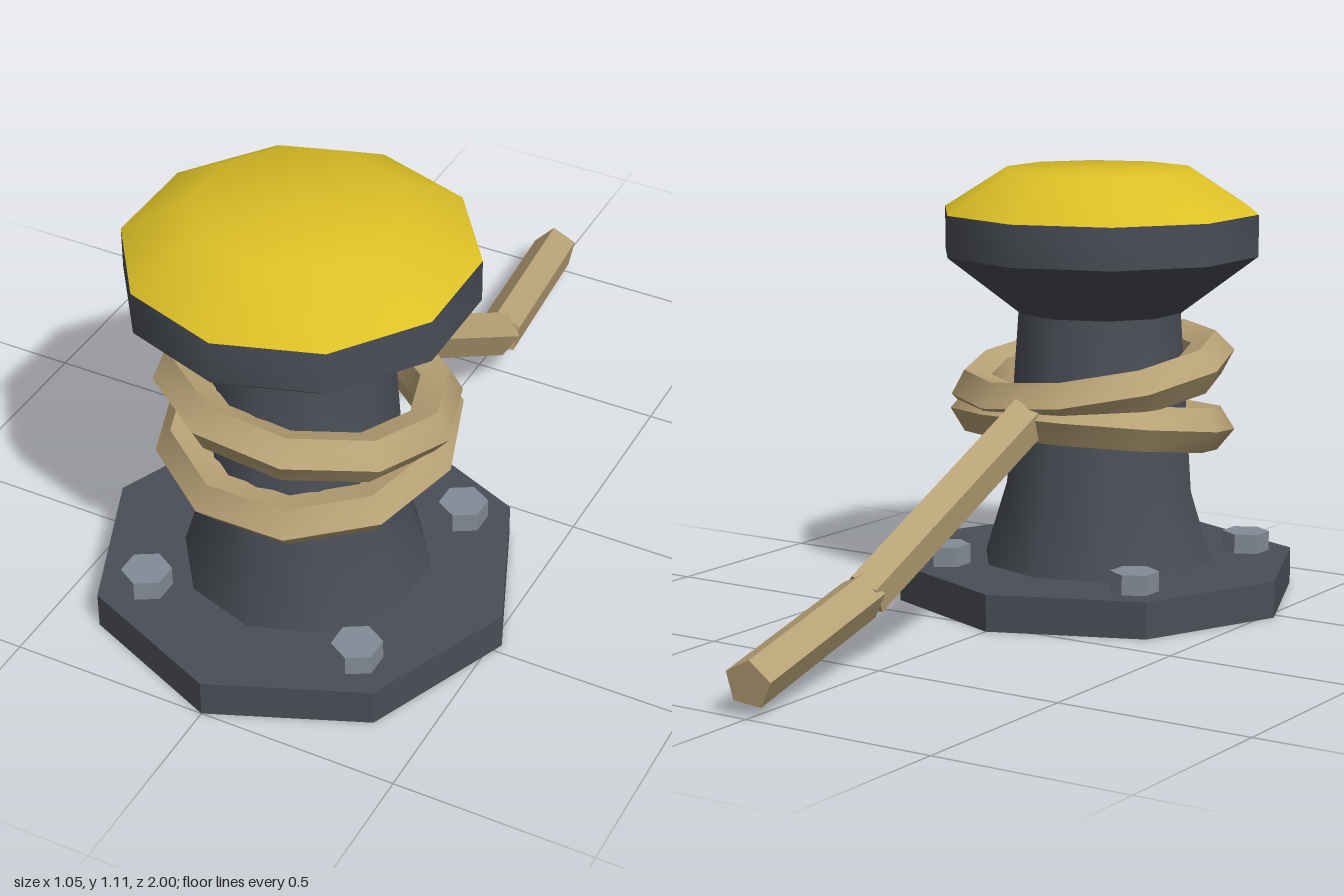
import * as THREE from 'three';
import { toCreasedNormals } from 'three/addons/utils/BufferGeometryUtils.js';

const mat = (name, color) => {
  const m = new THREE.MeshStandardMaterial({ color });
  m.name = name;
  return m;
};

export function createModel() {
  const iron = mat('darkIron', 0x4a4e56);
  const yellow = mat('yellowPaint', 0xdcc026);
  const hemp = mat('ropeTan', 0xb8a276);
  const steel = mat('boltSteel', 0x838b97);

  const model = new THREE.Group();
  model.name = 'mooringBollard';
  const axisZ = 0.475; // centre of the bollard

  const add = (name, geometry, material, x, y, z) => {
    const mesh = new THREE.Mesh(toCreasedNormals(geometry, 0.7), material);
    mesh.name = name;
    mesh.position.set(x, y, z);
    model.add(mesh);
    return mesh;
  };
  const lathe = (points) =>
    new THREE.LatheGeometry(points.map(([r, y]) => new THREE.Vector2(r, y)), 10);

  // Octagonal base plate
  add('basePlate', new THREE.CylinderGeometry(0.525, 0.525, 0.094, 8), iron, 0, 0.047, axisZ);

  // Column flaring into the head
  add('column', lathe([
    [0.305, 0.09], [0.247, 0.28], [0.2155, 0.745], [0.415, 0.897], [0.415, 1.004],
  ]), iron, 0, 0, axisZ);

  // Painted cap
  add('cap', lathe([[0.415, 1.004], [0.247, 1.111], [0, 1.111]]), yellow, 0, 0, axisZ);

  // Hex bolts on the base plate
  for (const sx of [-1, 1]) {
    for (const sz of [-1, 1]) {
      add('bolt', new THREE.CylinderGeometry(0.061, 0.061, 0.06, 6), steel,
        sx * 0.284, 0.115, axisZ + sz * 0.284);
    }
  }

  // Two tilted rope turns around the column
  const coil = (name, y, tiltX, tiltSide) => {
    const ring = add(name, new THREE.TorusGeometry(0.31, 0.06, 5, 10), hemp, 0, y, 0.447);
    ring.rotation.set(Math.PI / 2 + tiltX, tiltSide, 0);
  };
  coil('lowerRopeTurn', 0.465, 0.14, 0);
  coil('upperRopeTurn', 0.588, -0.14, -0.088);

  // Loose rope end trailing to the back
  const path = [[0, 0.512, 0.13], [0.077, 0.163, -0.455], [0, 0.078, -0.991]]
    .map((p) => new THREE.Vector3(...p));
  for (let i = 0; i < 2; i++) {
    const dir = path[i + 1].clone().sub(path[i]);
    const mid = path[i].clone().add(path[i + 1]).multiplyScalar(0.5);
    const rope = add('ropeTail', new THREE.CylinderGeometry(0.06, 0.06, dir.length(), 5),
      hemp, mid.x, mid.y, mid.z);
    rope.quaternion.setFromUnitVectors(new THREE.Vector3(0, 1, 0), dir.normalize());
  }

  return model;
}
